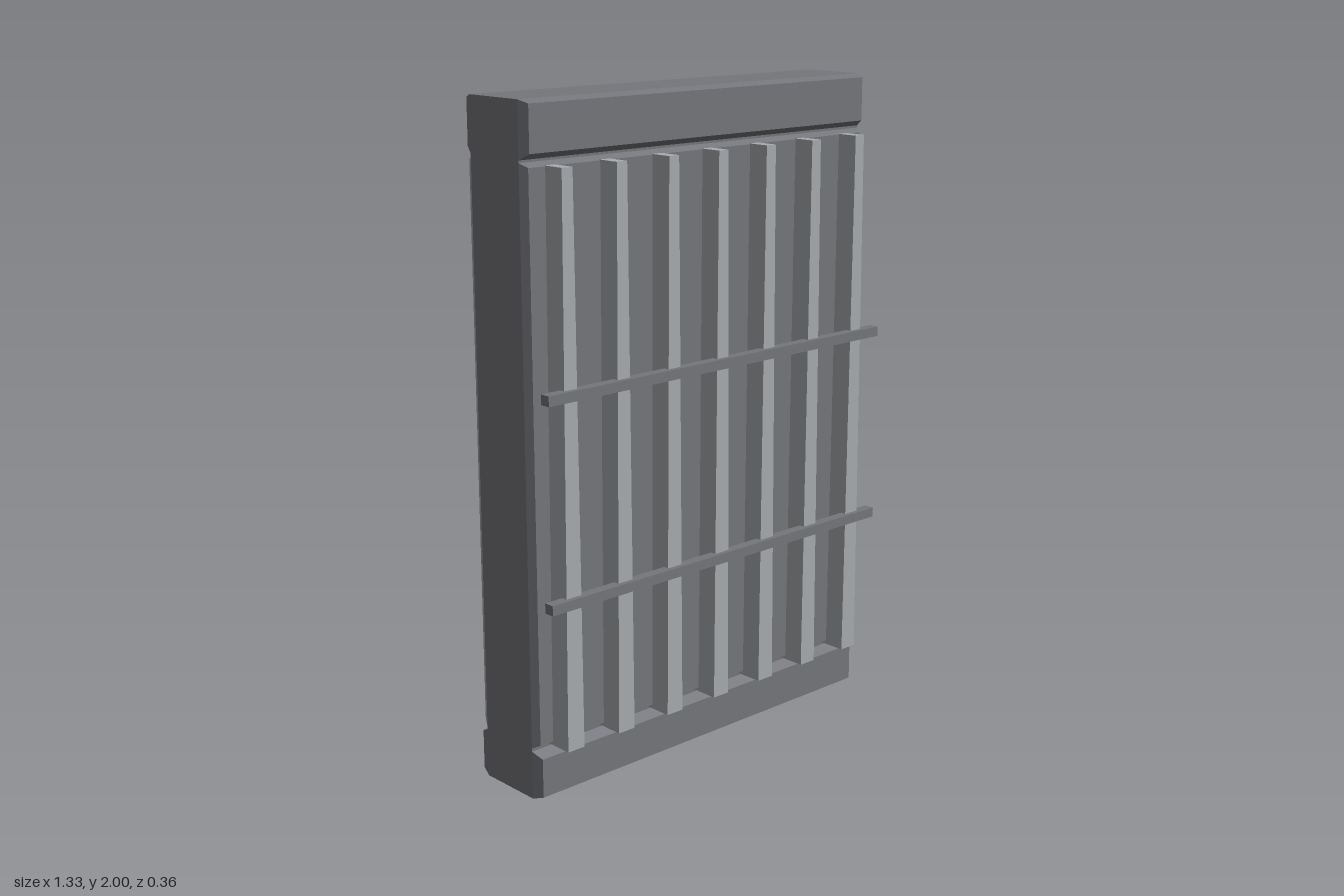
import * as THREE from 'three';

const WIDTH = 1.33, BACK = -0.14, FRONT = 0.07;

export function createModel() {
  const group = new THREE.Group();
  const material = (name, color) => {
    const m = new THREE.MeshStandardMaterial({ color });
    m.name = name;
    return m;
  };
  const darkGrey = material('darkGrey', 0x75767b);
  const paleGrey = material('paleGrey', 0xa6abae);
  const panelGrey = material('panelGrey', 0xa5a6a9);

  const add = (name, geometry, mat) => {
    const mesh = new THREE.Mesh(geometry, mat);
    mesh.name = name;
    group.add(mesh);
    return mesh;
  };

  // Box between two corners, its vertices optionally moved by a rule
  const block = (x0, x1, y0, y1, z0, z1, rule) => {
    const g = new THREE.BoxGeometry(x1 - x0, y1 - y0, z1 - z0);
    g.translate((x0 + x1) / 2, (y0 + y1) / 2, (z0 + z1) / 2);
    if (rule) {
      const p = g.attributes.position, v = new THREE.Vector3();
      for (let i = 0; i < p.count; i++) {
        rule(v.fromBufferAttribute(p, i));
        p.setXYZ(i, v.x, v.y, v.z);
      }
      g.computeVertexNormals();
    }
    return g;
  };

  // Full-width slab whose outer face is bevelled in on all four sides
  const bevelSlab = (y0, y1, zInner, zOuter, bottomInset, topInset) => {
    const mid = (y0 + y1) / 2, zMid = (zInner + zOuter) / 2;
    const outward = Math.sign(zOuter - zInner);
    return block(-WIDTH / 2, WIDTH / 2, y0, y1, Math.min(zInner, zOuter), Math.max(zInner, zOuter), (v) => {
      if ((v.z - zMid) * outward < 0) return;
      v.x -= Math.sign(v.x) * 0.013;
      v.y += v.y < mid ? bottomInset : -topInset;
    });
  };

  // Core slab, exposed at the sides and in the grooves
  add('core', block(-WIDTH / 2, WIDTH / 2, 0, 2, BACK, FRONT), darkGrey);

  // Header and footer bands on both faces
  add('headerFront', bevelSlab(1.84, 2, FRONT, 0.1, 0.018, 0.01), darkGrey);
  add('headerBack', bevelSlab(1.84, 2, BACK, -0.17, 0.018, 0.01), darkGrey);
  add('footerFront', bevelSlab(0, 0.147, FRONT, 0.103, 0.01, 0.018), darkGrey);
  add('footerBack', bevelSlab(0, 0.147, BACK, -0.178, 0.01, 0.018), darkGrey);

  // Wall panels between the bands
  add('frontPanel', bevelSlab(0.157, 1.833, FRONT, 0.094, 0.012, 0.012), darkGrey);
  add('backPanel', bevelSlab(0.157, 1.833, BACK, -0.165, 0.012, 0.012), panelGrey);

  // Upright ribs, wider at the foot
  for (let i = -3; i <= 3; i++) {
    const rib = add('rib', block(-0.03, 0.03, 0.157, 1.823, FRONT, 0.163, (v) => {
      if (v.y > 1) v.x *= 0.62;
    }), paleGrey);
    rib.position.x = i * 0.192;
  }

  // Horizontal rails across the ribs
  for (const y of [0.605, 1.203]) {
    add('rail', block(-WIDTH / 2, WIDTH / 2, y - 0.015, y + 0.015, 0.145, 0.178), darkGrey);
  }

  return group;
}
